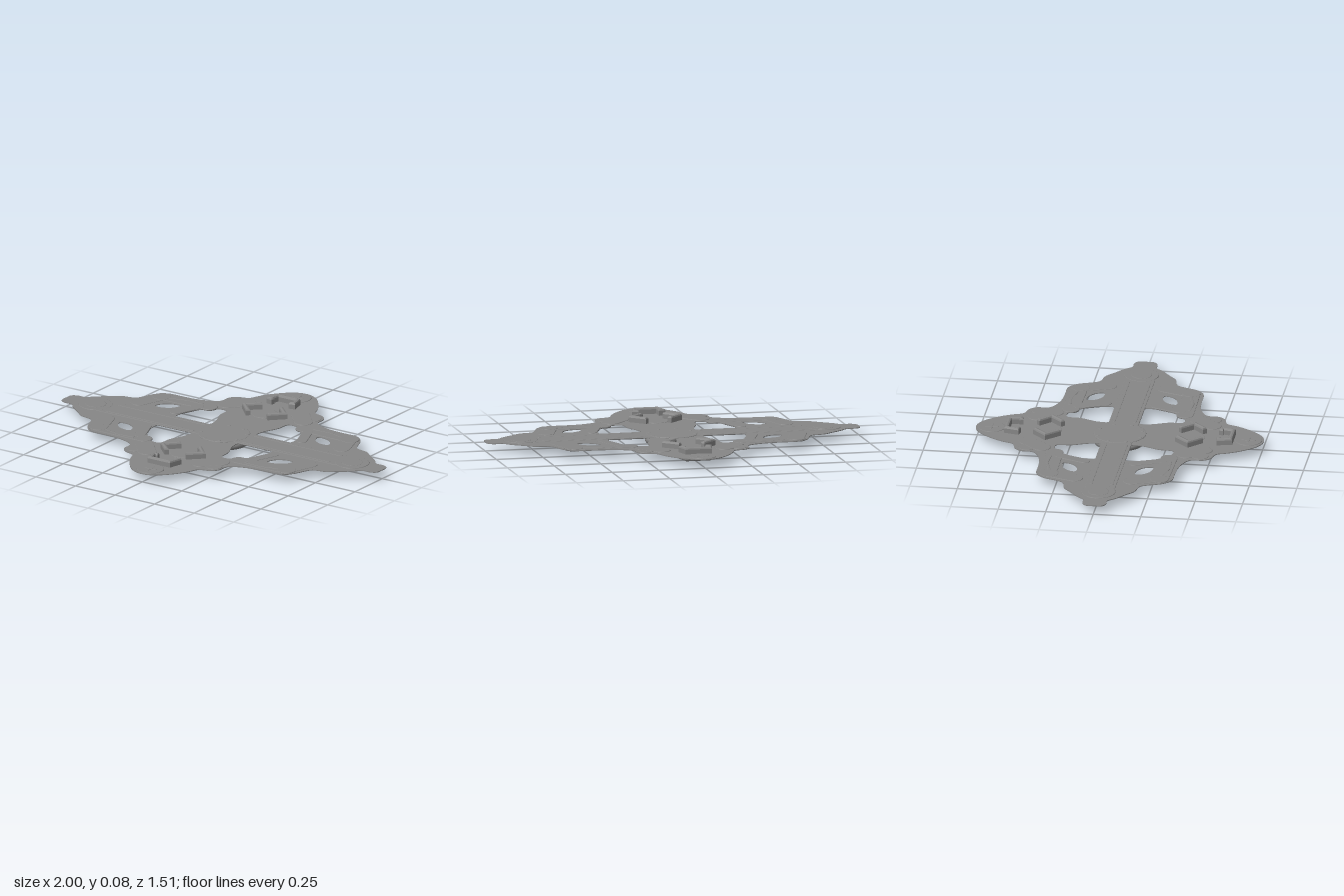
import * as THREE from 'three';

const MID = 0.047; // height of the thin plate
const QUADRANTS = [[1, 1], [-1, 1], [-1, -1], [1, -1]];
const material = new THREE.MeshStandardMaterial({ color: 0x868686, side: THREE.DoubleSide });

const v2 = (pts) => pts.map(([x, z]) => new THREE.Vector2(x, z));

// Closed smooth loop through a few points
function smoothLoop(pts, steps) {
  const curve = new THREE.CatmullRomCurve3(pts.map(([x, z]) => new THREE.Vector3(x, z, 0)), true, 'centripetal');
  return curve.getPoints(steps).slice(0, -1).map((p) => new THREE.Vector2(p.x, p.y));
}

// Horizontal slab from an x-z shape, centred on the plate
function slab(name, shape, height, bevel = 0.003) {
  const depth = height - 2 * bevel;
  const geo = new THREE.ExtrudeGeometry(shape, {
    depth, curveSegments: 20, bevelEnabled: bevel > 0,
    bevelSize: bevel, bevelThickness: bevel, bevelOffset: -bevel, bevelSegments: 2,
  });
  geo.translate(0, 0, -depth / 2);
  geo.rotateX(Math.PI / 2);
  const mesh = new THREE.Mesh(geo, material);
  mesh.name = name;
  mesh.position.y = MID;
  return mesh;
}

function disc(name, x, z, r, height) {
  return slab(name, new THREE.Shape().absarc(x, z, r, 0, Math.PI * 2, false), height);
}

// Outline of a bent strip of constant width, with mitred corners
function stripShape(pts, width) {
  const p = v2(pts), left = [], right = [], last = pts.length - 1;
  const normal = (a, b) => new THREE.Vector2(a.y - b.y, b.x - a.x).normalize();
  p.forEach((q, i) => {
    const before = Math.max(i - 1, 0), after = Math.min(i, last - 1);
    const n1 = normal(p[before], p[before + 1]);
    const n2 = normal(p[after], p[after + 1]);
    const m = n1.clone().add(n2).normalize();
    m.multiplyScalar(width / 2 / m.dot(n1));
    left.push(q.clone().add(m));
    right.unshift(q.clone().sub(m));
  });
  return new THREE.Shape([...left, ...right]);
}

// Capsule-shaped link between two points
function linkShape([x1, z1], [x2, z2], r) {
  const a = Math.atan2(z2 - z1, x2 - x1);
  const shape = new THREE.Shape();
  shape.absarc(x2, z2, r, a - Math.PI / 2, a + Math.PI / 2, false);
  shape.absarc(x1, z1, r, a + Math.PI / 2, a + Math.PI * 1.5, false);
  return shape;
}

// Thin lattice plate with four big and four small openings
function createPlate() {
  const edge = [
    [1, 0], [0.995, 0.045], [0.965, 0.062], [0.92, 0.064], [0.885, 0.1], [0.82, 0.15], [0.775, 0.185],
    [0.7, 0.205], [0.675, 0.25], [0.65, 0.31], [0.6, 0.355], [0.5, 0.36], [0.41, 0.367], [0.33, 0.395],
    [0.305, 0.42], [0.3, 0.48], [0.27, 0.515], [0.21, 0.535], [0.185, 0.59], [0.15, 0.65], [0.09, 0.72],
    [0.045, 0.748], [0, 0.757],
  ];
  const ring = [];
  QUADRANTS.forEach(([sx, sz]) => {
    const part = edge.map(([x, z]) => [x * sx, z * sz]);
    if (sx * sz < 0) part.reverse();
    ring.push(...part.slice(0, -1));
  });
  const shape = new THREE.Shape(smoothLoop(ring, 352));
  const bigHole = [[0.15, 0.082], [0.25, 0.08], [0.36, 0.082], [0.365, 0.13], [0.345, 0.2], [0.28, 0.285],
    [0.235, 0.31], [0.195, 0.305], [0.185, 0.23], [0.15, 0.14]];
  const smallHole = [[0.435, 0.235], [0.45, 0.185], [0.5, 0.155], [0.545, 0.16], [0.54, 0.19], [0.5, 0.228]];
  QUADRANTS.forEach(([sx, sz]) => {
    for (const hole of [bigHole, smallHole]) {
      shape.holes.push(new THREE.Path(smoothLoop(hole.map(([x, z]) => [x * sx, z * sz]), 48)));
    }
  });
  return slab('plate', shape, 0.004, 0);
}

export function createModel() {
  const model = new THREE.Group();
  model.name = 'latticePlate';
  model.add(createPlate());

  // Long beam with ribs and end discs
  model.add(slab('beam', linkShape([-0.74, 0], [0.74, 0], 0.08), 0.008));
  for (const s of [-1, 1]) {
    for (const z of [-0.055, 0.055]) {
      model.add(slab('beamRib', linkShape([s * 0.16, z], [s * 0.7, z], 0.009), 0.011));
    }
    model.add(disc('beamEndDisc', s * 0.81, 0, 0.09, 0.01));
    model.add(disc('beamEndCap', s * 0.81, 0, 0.055, 0.013));

    // Slotted discs and pivots along the short axis
    model.add(disc('tipDisc', 0, s * 0.675, 0.072, 0.01));
    for (const [dx, dz] of [[0.03, 0], [0, 0.03]]) {
      model.add(slab('screwSlot', linkShape([-dx, s * 0.675 - dz], [dx, s * 0.675 + dz], 0.007), 0.013));
    }
    model.add(disc('pivotDisc', 0, s * 0.375, 0.07, 0.009));
  }

  // Hub over the middle of the beam
  model.add(disc('hub', 0, 0, 0.137, 0.011));
  for (let i = 0; i < 8; i++) {
    const a = (i + 0.5) * Math.PI / 4;
    model.add(disc('hubRivet', Math.cos(a) * 0.12, Math.sin(a) * 0.12, 0.01, 0.014));
  }

  // Low relief links and joints on the four lattice arms
  QUADRANTS.forEach(([sx, sz]) => {
    const at = (x, z) => [x * sx, z * sz];
    const arm = new THREE.Group();
    arm.name = 'latticeArm';
    arm.add(slab('outerLink', linkShape(at(0.3, 0.3), at(0.58, 0.295), 0.045), 0.009));
    arm.add(slab('linkRib', stripShape([at(0.35, 0.315), at(0.45, 0.32), at(0.55, 0.295)], 0.016), 0.012));
    arm.add(slab('innerLink', linkShape(at(0.4, 0.13), at(0.345, 0.27), 0.028), 0.01));
    arm.add(slab('endLink', linkShape(at(0.6, 0.265), at(0.64, 0.15), 0.045), 0.009));
    arm.add(slab('shoulderLink', linkShape(at(0.17, 0.46), at(0.24, 0.38), 0.05), 0.01));
    arm.add(disc('elbowJoint', ...at(0.595, 0.29), 0.05, 0.012));
    arm.add(disc('shoulderJoint', ...at(0.25, 0.455), 0.045, 0.009));
    model.add(arm);

    // Chevron clip standing through the plate
    const chevron = [at(0.06, 0.438), at(0.126, 0.375), at(0.06, 0.308)];
    model.add(slab('chevronClip', stripShape(chevron, 0.024), 0.073, 0.01));
  });

  // U-shaped clips near both tips
  for (const s of [-1, 1]) {
    const path = [[-0.052, 0.525], [-0.076, 0.53], [-0.062, 0.588], [0.062, 0.588], [0.076, 0.53], [0.052, 0.525]];
    model.add(slab('uClip', stripShape(path.map(([x, z]) => [x, z * s]), 0.023), 0.073, 0.01));
  }

  // Ring under the hub
  const ring = new THREE.Mesh(new THREE.TorusGeometry(0.121, 0.02, 16, 64), material);
  ring.name = 'ring';
  ring.rotation.x = Math.PI / 2;
  ring.position.y = 0.02;
  model.add(ring);

  return model;
}
